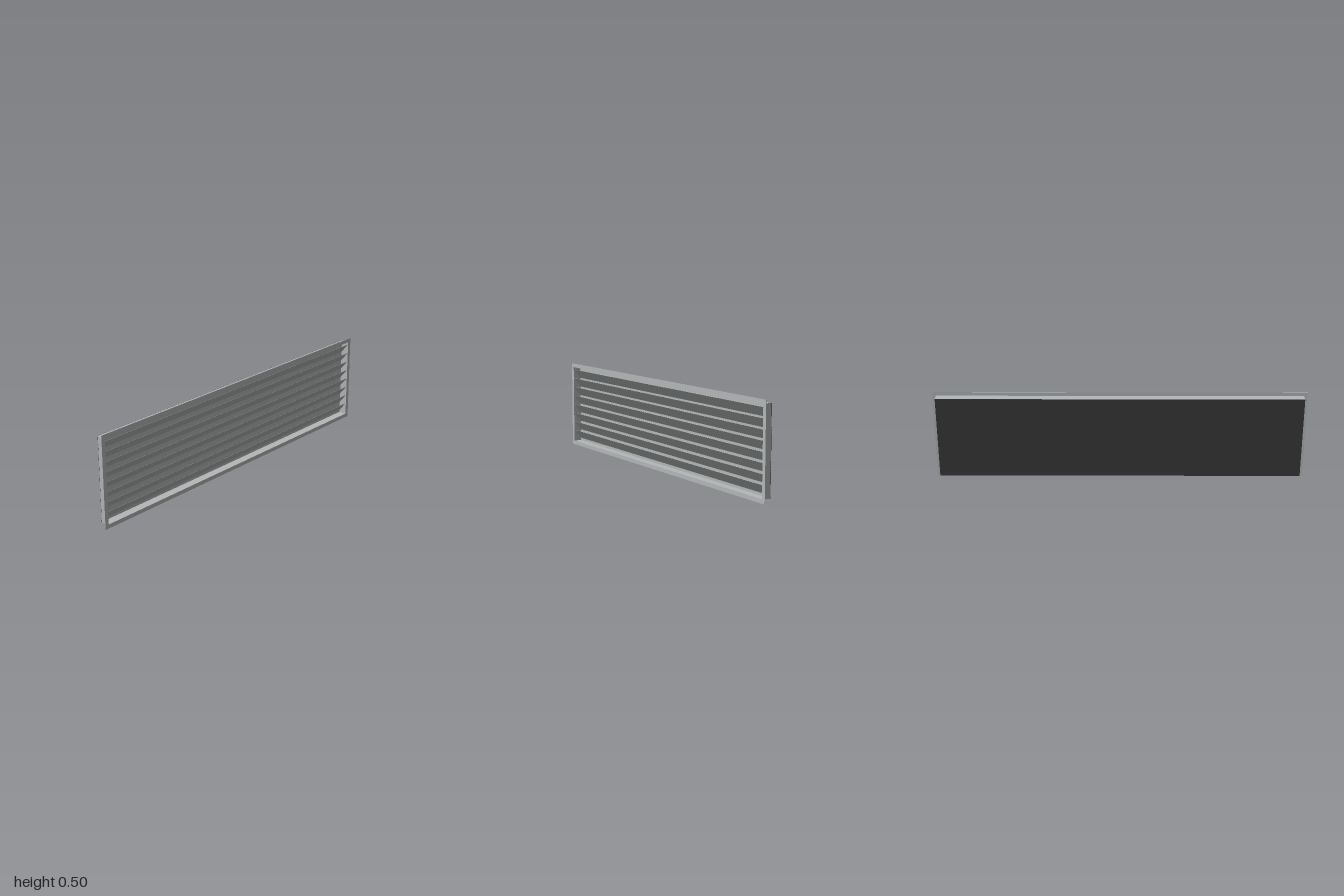
import * as THREE from 'three';

export function createModel() {
  const grey = new THREE.MeshStandardMaterial({ color: 0xb3b7b7 });
  grey.name = 'satin grey metal';
  const dark = new THREE.MeshStandardMaterial({ color: 0x383838 });
  dark.name = 'dark backing';

  const model = new THREE.Group();
  model.name = 'ventGrille';
  const midY = 0.2475, front = 0.0235, back = -0.0235;

  function box(name, material, w, h, d, x, y, z) {
    const mesh = new THREE.Mesh(new THREE.BoxGeometry(w, h, d), material);
    mesh.name = name;
    mesh.position.set(x, y, z);
    model.add(mesh);
    return mesh;
  }

  function rectangle(PathType, w, h) {
    return new PathType([
      new THREE.Vector2(-w / 2, -h / 2), new THREE.Vector2(w / 2, -h / 2),
      new THREE.Vector2(w / 2, h / 2), new THREE.Vector2(-w / 2, h / 2),
    ]);
  }

  // thin rectangular ring extruded along z
  function ring(name, w, h, holeW, holeH, z, depth) {
    const shape = rectangle(THREE.Shape, w, h);
    shape.holes.push(rectangle(THREE.Path, holeW, holeH));
    const mesh = new THREE.Mesh(
      new THREE.ExtrudeGeometry(shape, { depth, bevelEnabled: false }), grey);
    mesh.name = name;
    mesh.position.set(0, midY, z);
    model.add(mesh);
  }

  // front flange and the shallow duct behind it
  ring('flange', 2, 0.495, 1.956, 0.451, front - 0.001, 0.002);
  ring('ductWalls', 1.96, 0.455, 1.956, 0.451, back + 0.001, front - back - 0.002);

  // grey inner back, with a dark sheet on the outside
  box('innerBack', grey, 1.956, 0.451, 0.001, 0, midY, back + 0.0025);
  box('backPlate', dark, 1.96, 0.455, 0.002, 0, midY, back + 0.001);

  // sloping louvres, front edge high and rear edge low
  const count = 8, pitch = 0.0528, depth = 0.043;
  for (let i = 0; i < count; i++) {
    const y = midY + (i - (count - 1) / 2) * pitch;
    const louvre = box('louvre', grey, 1.956, Math.hypot(pitch, depth), 0.001, 0, y, 0.001);
    louvre.rotation.x = Math.atan2(depth, pitch);
  }

  return model;
}
